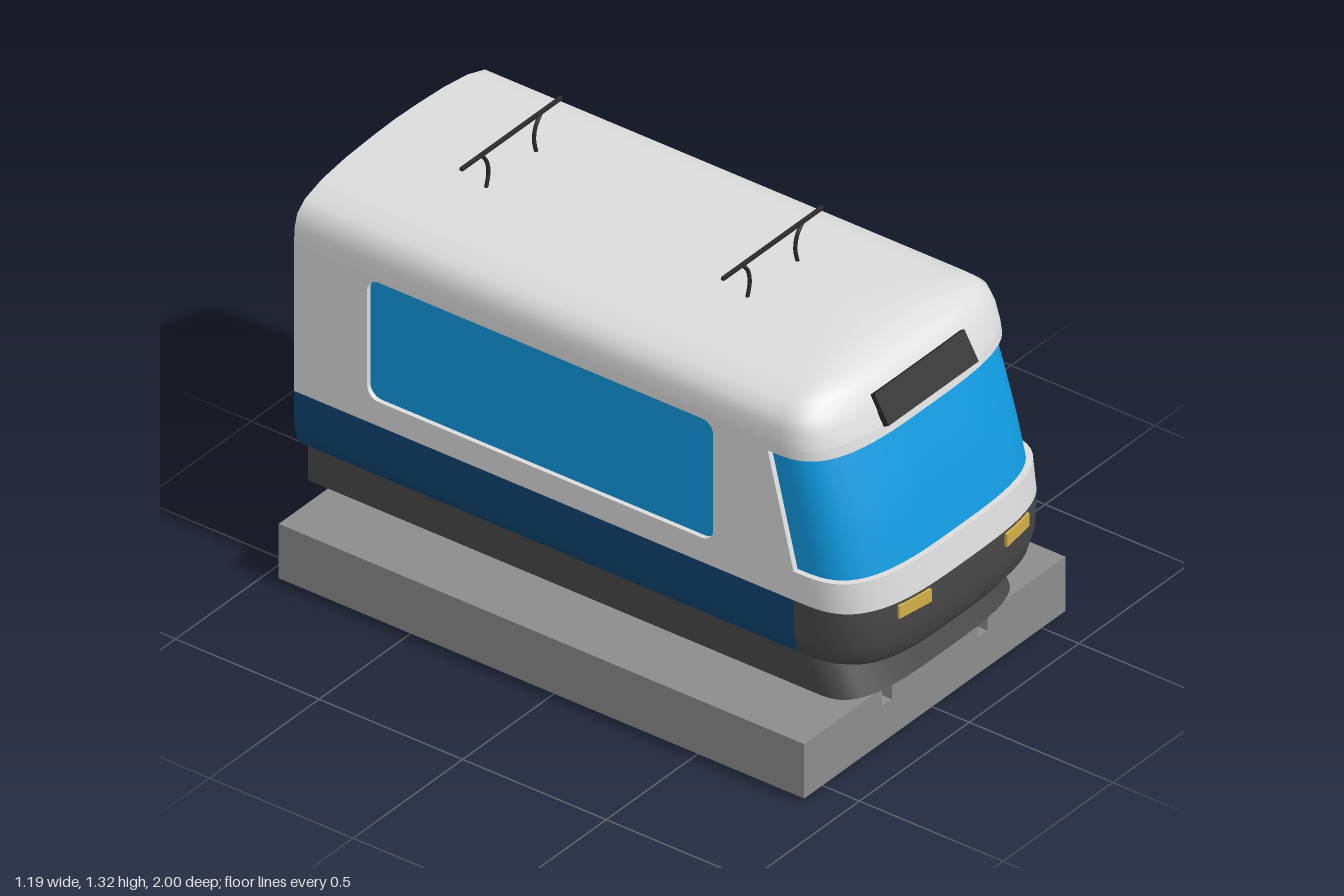
import * as THREE from 'three';

const mat = (name, color, side = THREE.FrontSide) => {
  const m = new THREE.MeshStandardMaterial({ color, side });
  m.name = name;
  return m;
};

// Body profile by height: [y, half width, front z]
const PROFILE = [
  [0.30, 0, 0.86], [0.31, 0.25, 0.91], [0.33, 0.39, 0.955], [0.36, 0.44, 0.975], [0.42, 0.458, 0.99],
  [0.5, 0.46, 0.996], [0.54, 0.46, 0.996], [0.635, 0.46, 0.98], [0.75, 0.46, 0.952], [0.88, 0.46, 0.91],
  [1.0, 0.46, 0.866], [1.03, 0.46, 0.858], [1.08, 0.457, 0.838], [1.12, 0.445, 0.815], [1.15, 0.41, 0.79],
  [1.175, 0.33, 0.755], [1.19, 0.22, 0.70], [1.197, 0.1, 0.65], [1.2, 0, 0.58],
];
const BACK = -1, ARC = 48, WALL = 0.46;
const rowsBetween = (y0, y1) => PROFILE.filter(([y]) => y >= y0 && y <= y1);

// z where the side wall ends and the rounded front begins
function cornerZ(y, front) {
  const k = THREE.MathUtils.clamp((y - 0.635) / 0.365, 0, 1);
  return Math.min(0.74 - 0.09 * k, front - 0.1);
}

// Rounded front outline at one height, running from -x to +x
function frontArc([y, w, front], inset = 0, corner = cornerZ(y, front)) {
  const pts = [], p = 0.61, hw = w - inset, zf = front - inset;
  for (let i = 0; i <= ARC; i++) {
    const a = Math.PI * (1 - i / ARC), c = Math.cos(a), s = Math.max(0, Math.sin(a));
    pts.push([hw * Math.sign(c) * Math.abs(c) ** p, y, corner + (zf - corner) * s ** p]);
  }
  return pts;
}

// Same outline with both side walls running to the back
function fullOutline(row, corner) {
  return [[-row[1], row[0], BACK], ...frontArc(row, 0, corner), [row[1], row[0], BACK]];
}

// Skin over a list of outlines with equal point counts
function skin(lines) {
  const n = lines[0].length, idx = [];
  for (let r = 0; r < lines.length - 1; r++) {
    for (let c = 0; c < n - 1; c++) {
      const a = r * n + c, b = a + 1, d = a + n;
      idx.push(a, b, d, b, d + 1, d);
    }
  }
  const g = new THREE.BufferGeometry();
  g.setAttribute('position', new THREE.Float32BufferAttribute(lines.flat(2), 3));
  g.setIndex(idx);
  g.computeVertexNormals();
  return g;
}

// Rounded rectangle traced into a Shape or Path
function roundedRect(s, x0, y0, x1, y1, r) {
  s.moveTo(x0 + r, y0);
  s.lineTo(x1 - r, y0);
  s.absarc(x1 - r, y0 + r, r, -Math.PI / 2, 0);
  s.lineTo(x1, y1 - r);
  s.absarc(x1 - r, y1 - r, r, 0, Math.PI / 2);
  s.lineTo(x0 + r, y1);
  s.absarc(x0 + r, y1 - r, r, Math.PI / 2, Math.PI);
  s.lineTo(x0, y0 + r);
  s.absarc(x0 + r, y0 + r, r, Math.PI, Math.PI * 1.5);
  return s;
}

const polygon = (pts) => new THREE.Shape(pts.map(([x, y]) => new THREE.Vector2(x, y)));

export function createModel() {
  const root = new THREE.Group();
  root.name = 'tram';
  const white = mat('bodyWhite', 0xdcdcdc, THREE.DoubleSide);
  const blue = mat('bandBlue', 0x0e4571, THREE.DoubleSide);
  const glass = mat('windowBlue', 0x109ae0, THREE.DoubleSide);
  const dark = mat('noseGrey', 0x484848, THREE.DoubleSide);
  const black = mat('fittingBlack', 0x2b2b2b);
  const yellow = mat('lampYellow', 0xd2b045);
  const grey = mat('baseGrey', 0x8c8c8c);

  const add = (name, geometry, material, x = 0, y = 0, z = 0, parent = root) => {
    const m = new THREE.Mesh(geometry, material);
    m.name = name;
    m.position.set(x, y, z);
    parent.add(m);
    return m;
  };
  const box = (w, h, d) => new THREE.BoxGeometry(w, h, d);

  // Lower body: dark nose, blue sides, blue back
  const lower = rowsBetween(0.3, 0.54);
  add('nose', skin(lower.map((r) => frontArc(r))), dark);
  for (const s of [-1, 1]) {
    add('lowerSide', skin(lower.map(([y, w]) => {
      const line = [[s * w, y, BACK], [s * w, y, 0.74]];
      return s < 0 ? line : line.reverse();
    })), blue);
  }
  const backWall = (rows) => skin(rows.map(([y, w]) => [[w, y, BACK], [-w, y, BACK]]));
  add('lowerBack', backWall(lower), blue);
  add('upperBack', backWall(rowsBetween(0.54, 1.2)), white);

  // Upper body: band under the windscreen, brow, roof
  add('frontBand', skin(rowsBetween(0.54, 0.635).map((r) => frontArc(r))), white);
  add('brow', skin(rowsBetween(1.0, 1.03).map((r) => frontArc(r))), white);
  add('roof', skin(rowsBetween(1.03, 1.2).map((r) => fullOutline(r))), white);

  // Recessed wraparound windscreen with its sill and lintel
  const screen = rowsBetween(0.635, 1.0), inset = 0.018;
  const sill = screen[0], lintel = screen[screen.length - 1];
  add('windscreen', skin(screen.map((r) => frontArc(r, inset))), glass);
  add('windscreenSill', skin([frontArc(sill), frontArc(sill, inset)]), white);
  add('windscreenLintel', skin([frontArc(lintel, inset), frontArc(lintel)]), white);

  // Side walls with a rounded window opening, and the panes behind
  const wall = polygon([[BACK, 0.54], [0.74, 0.54], [0.74, 0.635], [0.65, 1.0], [0.65, 1.03], [BACK, 1.03]]);
  wall.holes.push(roundedRect(new THREE.Path(), -0.745, 0.62, 0.46, 1.015, 0.04));
  const wallGeo = new THREE.ExtrudeGeometry(wall, { depth: 0.02, bevelEnabled: false, curveSegments: 8 });
  wallGeo.rotateY(-Math.PI / 2);
  for (const s of [-1, 1]) {
    add('sideWall', wallGeo, white, s > 0 ? WALL : -WALL + 0.02);
    add('sideWindow', box(0.006, 0.41, 1.22), glass, s * 0.442, 0.8175, -0.1425);
  }

  // Destination panel and headlights
  add('destinationPanel', box(0.41, 0.1, 0.02), black, 0, 1.077, 0.843).rotation.x = -0.53;
  for (const s of [-1, 1]) {
    add('headlight', box(0.125, 0.042, 0.018), yellow, s * 0.233, 0.511, 0.984).rotation.y = s * 0.14;
  }

  // Skirt below the body, sloping out at the front and open at the back
  add('skirt', skin([[0.21, 0.395, 0.92], [0.33, 0.395, 0.86]].map((r) => fullOutline(r, r[2] - 0.16))), dark);

  // Flanged wheels on axles
  const tread = new THREE.CylinderGeometry(0.075, 0.075, 0.055, 28).rotateZ(Math.PI / 2);
  const flange = new THREE.CylinderGeometry(0.135, 0.135, 0.025, 28).rotateZ(Math.PI / 2);
  const axle = new THREE.CylinderGeometry(0.02, 0.02, 0.42, 12).rotateZ(Math.PI / 2);
  for (const z of [0.485, 0.08, -0.325, -0.73]) {
    const set = new THREE.Group();
    set.name = 'wheelSet';
    set.position.set(0, 0.27, z);
    root.add(set);
    add('axle', axle, black, 0, 0, 0, set);
    for (const s of [-1, 1]) {
      add('wheelTread', tread, black, s * 0.23, 0, 0, set);
      add('wheelFlange', flange, black, s * 0.216, 0, 0, set);
    }
  }

  // Two roof collectors: crossbar on curved legs
  for (const z of [0.315, -0.595]) {
    const collector = new THREE.Group();
    collector.name = 'roofCollector';
    collector.position.z = z;
    root.add(collector);
    add('crossbar', box(0.456, 0.01, 0.01), black, 0, 1.313, 0, collector);
    for (const s of [-1, 1]) {
      const path = new THREE.CatmullRomCurve3([[0.135, 1.31], [0.112, 1.28], [0.104, 1.24], [0.115, 1.19]]
        .map(([x, y]) => new THREE.Vector3(s * x, y, 0)));
      add('collectorLeg', new THREE.TubeGeometry(path, 14, 0.006, 8), black, 0, 0, 0, collector);
    }
  }

  // Display base with two rail grooves, resting on a small pad
  const half = [[0.195, 0.19], [0.195, 0.13], [0.24, 0.13], [0.24, 0.19], [0.595, 0.19], [0.595, 0.01]];
  const mirrored = half.map(([x, y]) => [-x, y]).reverse();
  const baseGeo = new THREE.ExtrudeGeometry(polygon([...mirrored, ...half]), { depth: 1.83, bevelEnabled: false });
  add('base', baseGeo, grey, 0, 0, -0.95);
  add('basePad', box(0.27, 0.012, 0.06), grey, 0, 0.006, -0.01);
  return root;
}
